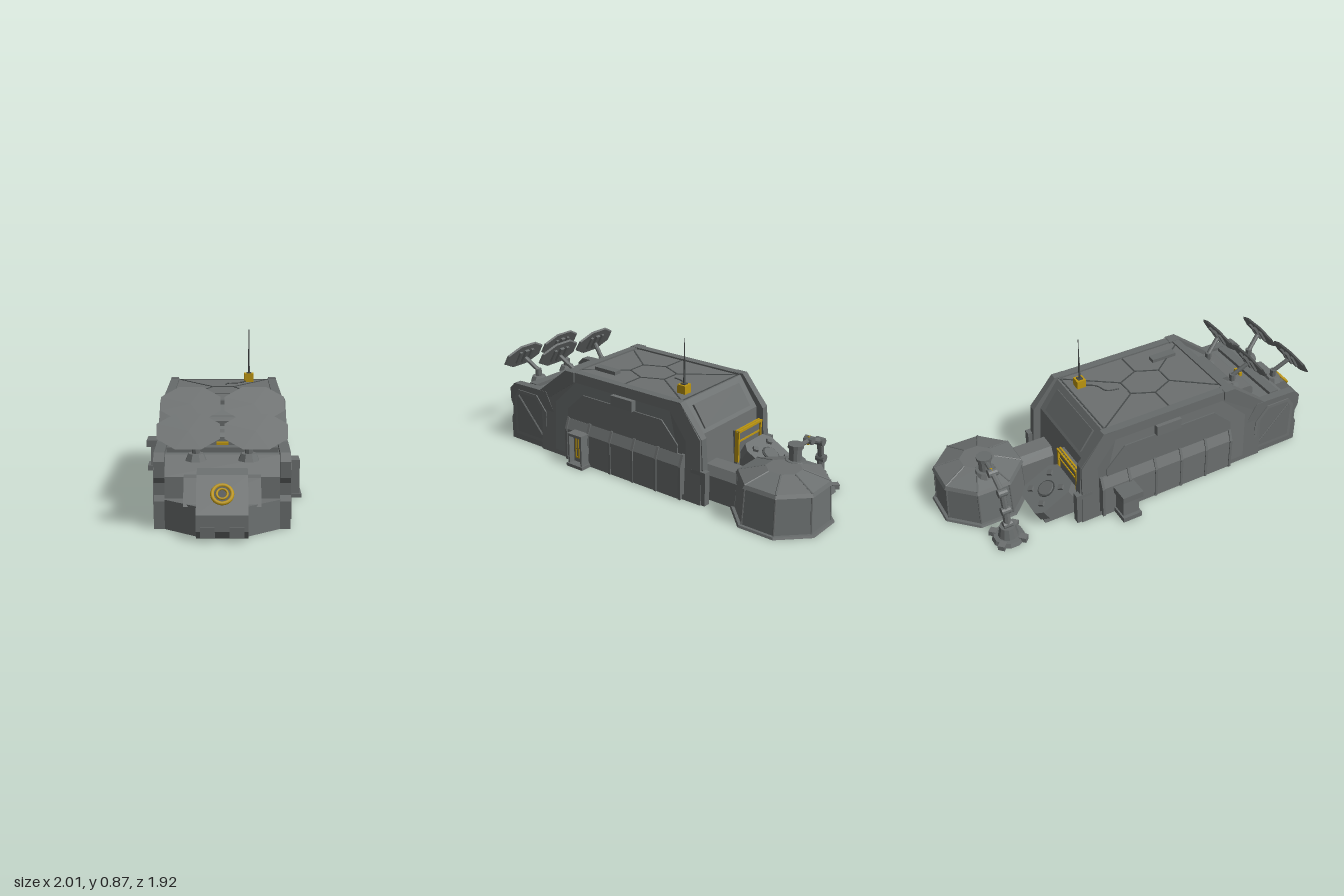
import * as THREE from 'three';

const mat = (name, color) => Object.assign(new THREE.MeshStandardMaterial({ color }), { name });

export function createModel() {
  const hull = mat('hull grey', 0x6c7070), trim = mat('trim grey', 0x676b6b);
  const dark = mat('dark grey', 0x484c4c), yellow = mat('safety yellow', 0xbd9610);

  // The base lies diagonally: local x runs nose to tail, local z across.
  const model = new THREE.Group(), base = new THREE.Group();
  model.name = 'outpost';
  base.name = 'base';
  model.rotation.y = Math.PI / 4;
  base.position.z = -0.04;
  model.add(base);

  const flat = g => {
    const f = g.index ? g.toNonIndexed() : g;
    f.computeVertexNormals();
    return f;
  };
  const add = (name, g, m, x = 0, y = 0, z = 0, parent = base) => {
    const mesh = new THREE.Mesh(g, m);
    mesh.name = name;
    mesh.position.set(x, y, z);
    parent.add(mesh);
    return mesh;
  };
  const box = (name, m, x0, x1, y0, y1, z0, z1, parent) => add(name,
    new THREE.BoxGeometry(x1 - x0, y1 - y0, z1 - z0), m, (x0 + x1) / 2, (y0 + y1) / 2, (z0 + z1) / 2, parent);
  const cyl = (name, m, r0, r1, h, n, x, y, z, parent) =>
    add(name, flat(new THREE.CylinderGeometry(r1, r0, h, n).rotateY(Math.PI / n)), m, x, y + h / 2, z, parent);
  const extrude = (pts, depth, hole) => {
    const s = new THREE.Shape(pts.map(p => new THREE.Vector2(...p)));
    if (hole) s.holes.push(new THREE.Path(hole.map(p => new THREE.Vector2(...p))));
    return new THREE.ExtrudeGeometry(s, { depth, bevelEnabled: false });
  };
  // Side profile (x, y) spread across z
  const across = (name, m, pts, z0, z1) => add(name, extrude(pts, z1 - z0), m, 0, 0, z0);
  // Cross-section (z, y) swept along x
  const along = (name, m, pts, x0, x1) =>
    add(name, extrude(pts.map(([z, y]) => [-z, y]), x1 - x0).rotateY(Math.PI / 2), m, x0);
  // Rod between two points
  const rod = (name, m, a, b, r, n = 8) => {
    const A = new THREE.Vector3(...a), B = new THREE.Vector3(...b), d = B.clone().sub(A);
    const mesh = add(name, flat(new THREE.CylinderGeometry(r, r, d.length(), n)), m);
    mesh.position.copy(A).add(B).multiplyScalar(0.5);
    mesh.quaternion.setFromUnitVectors(new THREE.Vector3(0, 1, 0), d.normalize());
  };
  // Walls lean inwards with height
  const wallZ = y => 0.338 - 0.045 * y;
  const lean = g => {
    const p = g.attributes.position;
    for (let i = 0; i < p.count; i++) p.setZ(i, p.getZ(i) * wallZ(p.getY(i)) / 0.338);
    return flat(g);
  };
  const sidePlate = (name, m, pts, d, s, hole) => {
    const g = extrude(pts, d, hole), p = g.attributes.position;
    for (let i = 0; i < p.count; i++) {
      const b = wallZ(p.getY(i));
      p.setZ(i, s > 0 ? p.getZ(i) + b : p.getZ(i) - d - b);
    }
    add(name, flat(g), m);
  };

  // Main hall
  add('mainHall', lean(extrude([[-0.7, 0], [-0.7, 0.38], [-0.49, 0.55], [0.335, 0.55], [0.455, 0.38], [0.48, 0]], 0.66)
    .translate(0, 0, -0.33)), hull);
  // Front section
  across('frontSection', hull, [[-0.98, 0], [-0.98, 0.26], [-0.92, 0.36], [-0.68, 0.37], [-0.68, 0]], -0.3, 0.3);

  for (const s of [1, -1]) {
    const sz = (a, b) => s > 0 ? [a, b] : [-b, -a];
    // Arched end frames and side panels
    sidePlate('sideFrame', trim,
      [[-0.72, 0], [-0.72, 0.38], [-0.505, 0.56], [0.35, 0.56], [0.495, 0.38], [0.515, 0]], 0.012, s,
      [[-0.6, 0.03], [-0.6, 0.34], [-0.43, 0.5], [0.28, 0.5], [0.4, 0.35], [0.4, 0.03]]);
    sidePlate('sidePanel', trim, [[-0.5, 0.25], [-0.5, 0.32], [-0.38, 0.43], [0.22, 0.43], [0.34, 0.31], [0.34, 0.25]], 0.008, s);
    box('sideLamp', hull, -0.14, 0.02, 0.43, 0.495, ...sz(0.3, 0.345));
    // Rear ribs, roof rims and footings
    across('rearRib', trim, [[0.28, 0.5], [0.28, 0.562], [0.352, 0.562], [0.5, 0.38], [0.525, 0], [0.4, 0]], ...sz(0.28, 0.325));
    across('frontRib', trim, [[-0.44, 0.5], [-0.44, 0.562], [-0.508, 0.562], [-0.735, 0.385], [-0.735, 0.3]], ...sz(0.27, 0.335));
    box('roofRim', trim, -0.49, 0.33, 0.545, 0.56, ...sz(0.275, 0.315));
    box('rearFooting', trim, 0.44, 0.54, 0, 0.2, ...sz(0.3, 0.342));
    // Ribbed side bays
    const bay = g => [[0.3, 0], [0.362 + g, 0], [0.362 + g, 0.2], [0.335 + g, 0.262 + g], [0.3, 0.262 + g]].map(([z, y]) => [z * s, y]);
    along('sideBay', hull, bay(0), -0.49, 0.38);
    for (let i = 0; i <= 5; i++) {
      const x = -0.49 + i * 0.174 - 0.008;
      along('bayRib', trim, bay(0.006), x, x + 0.016);
    }
    // Front section cheeks with braced panels
    across('frontCheek', trim, [[-1, 0], [-1, 0.14], [-0.985, 0.17], [-0.985, 0.23], [-1, 0.26], [-1, 0.34], [-0.96, 0.38],
      [-0.76, 0.385], [-0.68, 0.385], [-0.62, 0.27], [-0.62, 0]], ...sz(0.285, 0.338));
    add('cheekPanel', extrude([[-0.96, 0.04], [-0.96, 0.29], [-0.92, 0.345], [-0.76, 0.345], [-0.68, 0.25], [-0.68, 0.04]], 0.006,
      [[-0.94, 0.06], [-0.94, 0.28], [-0.91, 0.325], [-0.77, 0.325], [-0.7, 0.24], [-0.7, 0.06]]), hull, 0, 0, s > 0 ? 0.338 : -0.344);
    rod('cheekBrace', trim, [-0.93, 0.31, 0.336 * s], [-0.7, 0.06, 0.336 * s], 0.008, 6);
  }

  // Roof panel lines
  const seam = (x0, z0, x1, z1) => {
    const m = add('roofSeam', new THREE.BoxGeometry(Math.hypot(x1 - x0, z1 - z0), 0.006, 0.008), dark, (x0 + x1) / 2, 0.55, (z0 + z1) / 2);
    m.rotation.y = -Math.atan2(z1 - z0, x1 - x0);
  };
  const hex = [[0.03, 0.06], [0.03, -0.06], [-0.1, -0.12], [-0.23, -0.06], [-0.23, 0.06], [-0.1, 0.12]];
  const outer = [[0.32, 0.27], [0.32, -0.27], [-0.1, -0.27], [-0.46, -0.24], [-0.46, 0.24], [-0.1, 0.27]];
  hex.forEach((p, i) => { seam(...p, ...hex[(i + 1) % 6]); seam(...p, ...outer[i]); });
  seam(0.32, 0.27, 0.32, -0.27);
  box('roofVent', trim, -0.4, -0.24, 0.55, 0.572, 0.14, 0.19);
  box('roofBeam', trim, -0.505, -0.46, 0.53, 0.56, -0.28, 0.28);

  // Stepped dish platform and rear slope plate
  across('dishPlatform', hull, [[-0.74, 0.36], [-0.74, 0.41], [-0.72, 0.43], [-0.6, 0.43], [-0.6, 0.36]], -0.21, 0.21);
  across('upperStep', trim, [[-0.62, 0.4], [-0.62, 0.47], [-0.6, 0.49], [-0.53, 0.49], [-0.53, 0.4]], -0.13, 0.13);
  across('rearSlopePanel', trim, [[0.355, 0.515], [0.435, 0.4], [0.45, 0.405], [0.367, 0.527]], -0.22, 0.22);
  box('frontDeckBeam', trim, -0.88, -0.82, 0.35, 0.385, -0.28, 0.28);

  // Nose with yellow hatch ring
  across('nose', hull, [[-1.15, 0], [-1.2, 0.05], [-1.2, 0.13], [-1.06, 0.29], [-0.96, 0.3], [-0.96, 0]], -0.125, 0.125);
  const plan = [[-0.96, -0.29], [-1.0, -0.285], [-1.12, -0.125], [-1.12, 0.125], [-1.0, 0.285], [-0.96, 0.29]];
  add('noseShoulders', extrude(plan.map(([x, z]) => [x, -z]), 0.15).rotateX(-Math.PI / 2), hull);
  across('noseCollar', trim, [[-1.09, 0.14], [-1.0, 0.26], [-0.95, 0.28], [-0.95, 0.14]], -0.19, 0.19);
  for (const z of [-0.07, 0.07]) box('noseFoot', trim, -1.205, -1.15, 0.02, 0.07, z - 0.035, z + 0.035);
  const hatch = new THREE.Group();
  hatch.name = 'noseHatch';
  hatch.position.set(-1.133, 0.212, 0);
  hatch.rotation.z = Math.atan2(0.16, 0.14);
  base.add(hatch);
  add('hatchRing', new THREE.TorusGeometry(0.048, 0.01, 8, 24).rotateX(Math.PI / 2), yellow, 0, 0.006, 0, hatch);
  cyl('hatchDisc', dark, 0.045, 0.045, 0.01, 20, 0, 0, 0, hatch);
  add('hatchInnerRing', new THREE.TorusGeometry(0.026, 0.006, 8, 20).rotateX(Math.PI / 2), yellow, 0, 0.011, 0, hatch);

  // Four tilted dish panels on mounts
  for (const [x, y, floor] of [[-1.045, 0.5, 0.34], [-0.728, 0.578, 0.42]]) for (const z of [-0.163, 0.163]) {
    const dish = new THREE.Group();
    dish.name = 'dish';
    dish.position.set(x, y, z);
    dish.rotation.z = 1.04;
    base.add(dish);
    cyl('dishPlate', hull, 0.155, 0.165, 0.01, 8, 0, 0, 0, dish).scale.x = 0.6;
    box('dishSpine', trim, -0.05, 0.05, -0.016, 0, -0.015, 0.015, dish);
    for (const e of [-0.05, 0.05]) box('dishRib', trim, -0.045, 0.045, -0.012, 0, e - 0.01, e + 0.01, dish);
    const px = x + 0.09, pz = z * 0.8;
    rod('dishArm', trim, [x, y - 0.01, z], [px, y - 0.09, pz], 0.014);
    rod('dishPost', trim, [px, floor, pz], [px, y - 0.08, pz], 0.02);
    cyl('dishMount', hull, 0.055, 0.04, 0.035, 8, px, floor, pz);
  }
  box('yellowLatch', yellow, -0.79, -0.77, 0.365, 0.392, -0.03, 0.03);

  // Side airlock: recessed door between jambs, outlined in yellow
  box('airlock', hull, -0.42, -0.31, 0, 0.205, 0.3, 0.385);
  for (const x of [-0.42, -0.322]) box('airlockJamb', hull, x, x + 0.012, 0, 0.205, 0.38, 0.425);
  box('airlockLintel', hull, -0.42, -0.31, 0.195, 0.212, 0.33, 0.425);
  box('airlockSill', trim, -0.425, -0.3, 0, 0.02, 0.34, 0.436);
  add('airlockStripe', extrude([[-0.395, 0.045], [-0.365, 0.045], [-0.365, 0.185], [-0.395, 0.185]], 0.006,
    [[-0.386, 0.054], [-0.374, 0.054], [-0.374, 0.176], [-0.386, 0.176]]), yellow, 0, 0, 0.383);

  // Far side utility cabinet
  box('cabinet', hull, 0.2, 0.3, 0, 0.15, -0.45, -0.33);
  box('cabinetHood', trim, 0.185, 0.315, 0.15, 0.19, -0.475, -0.33);
  box('cabinetFoot', trim, 0.19, 0.31, 0, 0.03, -0.47, -0.33);

  // Rear doorway with yellow frame
  box('rearDoor', trim, 0.45, 0.492, 0.02, 0.31, -0.265, -0.035);
  for (const x of [0.478, 0.496]) box('rearDoorLintel', yellow, x, x + 0.01, 0.302, 0.316, -0.27, -0.03);
  for (const z of [-0.27, -0.042]) box('rearDoorPost', yellow, 0.478, 0.504, 0.12, 0.305, z, z + 0.012);
  box('rearDoorBar', yellow, 0.49, 0.498, 0.24, 0.25, -0.265, -0.035);

  // Sloped rear generator
  across('generatorBody', hull, [[0.48, 0], [0.48, 0.17], [0.56, 0.17], [0.72, 0.08], [0.7, 0]], -0.25, -0.07);
  const gen = new THREE.Group();
  gen.name = 'generatorHead';
  gen.position.set(0.632, 0.15, -0.16);
  gen.rotation.z = -0.5;
  base.add(gen);
  const chamfered = [[-0.135, -0.09], [-0.09, -0.128], [0.09, -0.128], [0.135, -0.09], [0.135, 0.09], [0.09, 0.128], [-0.09, 0.128], [-0.135, 0.09]];
  add('generatorTop', extrude(chamfered, 0.07).rotateX(-Math.PI / 2), hull, 0, -0.05, 0, gen);
  cyl('generatorRim', dark, 0.055, 0.055, 0.006, 16, 0, 0.018, 0, gen);
  cyl('generatorCap', trim, 0.049, 0.045, 0.012, 16, 0, 0.018, 0, gen);
  for (let i = 0; i < 4; i++) {
    const a = i * Math.PI / 2 + Math.PI / 4;
    add('generatorLug', new THREE.BoxGeometry(0.03, 0.02, 0.03), trim,
      0.1 * Math.cos(a), 0.026, 0.1 * Math.sin(a), gen).rotation.y = -a;
  }

  // Corridor to the silo
  along('corridor', hull, [[0.1, 0], [0.1, 0.15], [0.13, 0.2], [0.23, 0.2], [0.26, 0.15], [0.26, 0]], 0.44, 0.76);

  // Octagonal silo
  const sx = 0.923, sz = 0.157;
  cyl('siloSkirt', trim, 0.286, 0.28, 0.012, 8, sx, 0, sz);
  cyl('siloWall', hull, 0.262, 0.248, 0.22, 8, sx, 0.01, sz);
  cyl('siloRim', trim, 0.262, 0.25, 0.02, 8, sx, 0.222, sz);
  cyl('siloRoof', hull, 0.25, 0.1, 0.045, 8, sx, 0.242, sz);
  for (let i = 0; i < 8; i++) {
    const a = i * Math.PI / 4 + Math.PI / 8, c = Math.cos(a), d = Math.sin(a);
    rod('siloRoofRib', trim, [sx + 0.25 * c, 0.24, sz + 0.25 * d], [sx + 0.1 * c, 0.285, sz + 0.1 * d], 0.006, 6);
    rod('siloWallRib', trim, [sx + 0.26 * c, 0.01, sz + 0.26 * d], [sx + 0.247 * c, 0.235, sz + 0.247 * d], 0.006, 6);
  }
  // Turret hub on the silo
  cyl('hubFoot', trim, 0.07, 0.055, 0.03, 12, 0.92, 0.26, 0.04);
  cyl('hub', hull, 0.036, 0.036, 0.08, 12, 0.92, 0.285, 0.04);
  cyl('hubCap', trim, 0.045, 0.045, 0.02, 12, 0.92, 0.36, 0.04);

  // Jointed crane arm
  const ax = 0.926, az = -0.244;
  cyl('craneBase', trim, 0.095, 0.085, 0.025, 12, ax, 0, az);
  for (let i = 0; i < 4; i++) {
    const a = i * Math.PI / 2 + Math.PI / 4;
    const foot = box('craneFoot', hull, -0.022, 0.022, 0, 0.03, -0.02, 0.02);
    foot.position.set(ax + 0.09 * Math.cos(a), 0.015, az + 0.09 * Math.sin(a));
    foot.rotation.y = -a;
  }
  cyl('cranePedestal', trim, 0.06, 0.045, 0.07, 12, ax, 0.02, az);
  const joints = [[ax, 0.1, az], [ax, 0.2, az + 0.005], [ax, 0.31, az + 0.03], [ax, 0.36, -0.09], [0.92, 0.355, 0.04]];
  joints.slice(1).forEach((p, i) => rod('craneLink', i % 2 ? trim : hull, joints[i], p, 0.022 - i * 0.003));
  joints.slice(0, 4).forEach(([x, y, z]) => rod('craneJoint', trim, [x - 0.026, y, z], [x + 0.026, y, z], 0.024, 12));
  rod('craneBand', yellow, [ax, 0.358, -0.095], [ax, 0.36, -0.075], 0.025);

  // Roof antenna
  box('antennaBox', yellow, 0.222, 0.278, 0.55, 0.6, 0.128, 0.184);
  box('antennaBoxLid', dark, 0.235, 0.265, 0.6, 0.606, 0.141, 0.171);
  cyl('antennaMast', dark, 0.007, 0.005, 0.15, 6, 0.25, 0.6, 0.156);
  cyl('antennaTip', dark, 0.003, 0.002, 0.125, 6, 0.25, 0.745, 0.156);
  const cable = new THREE.CatmullRomCurve3([[0.23, 0.555, 0.14], [0.17, 0.555, 0.1], [0.14, 0.555, 0.03], [0.07, 0.555, 0.01]].map(p => new THREE.Vector3(...p)));
  add('antennaCable', new THREE.TubeGeometry(cable, 16, 0.004, 6), dark);

  return model;
}
